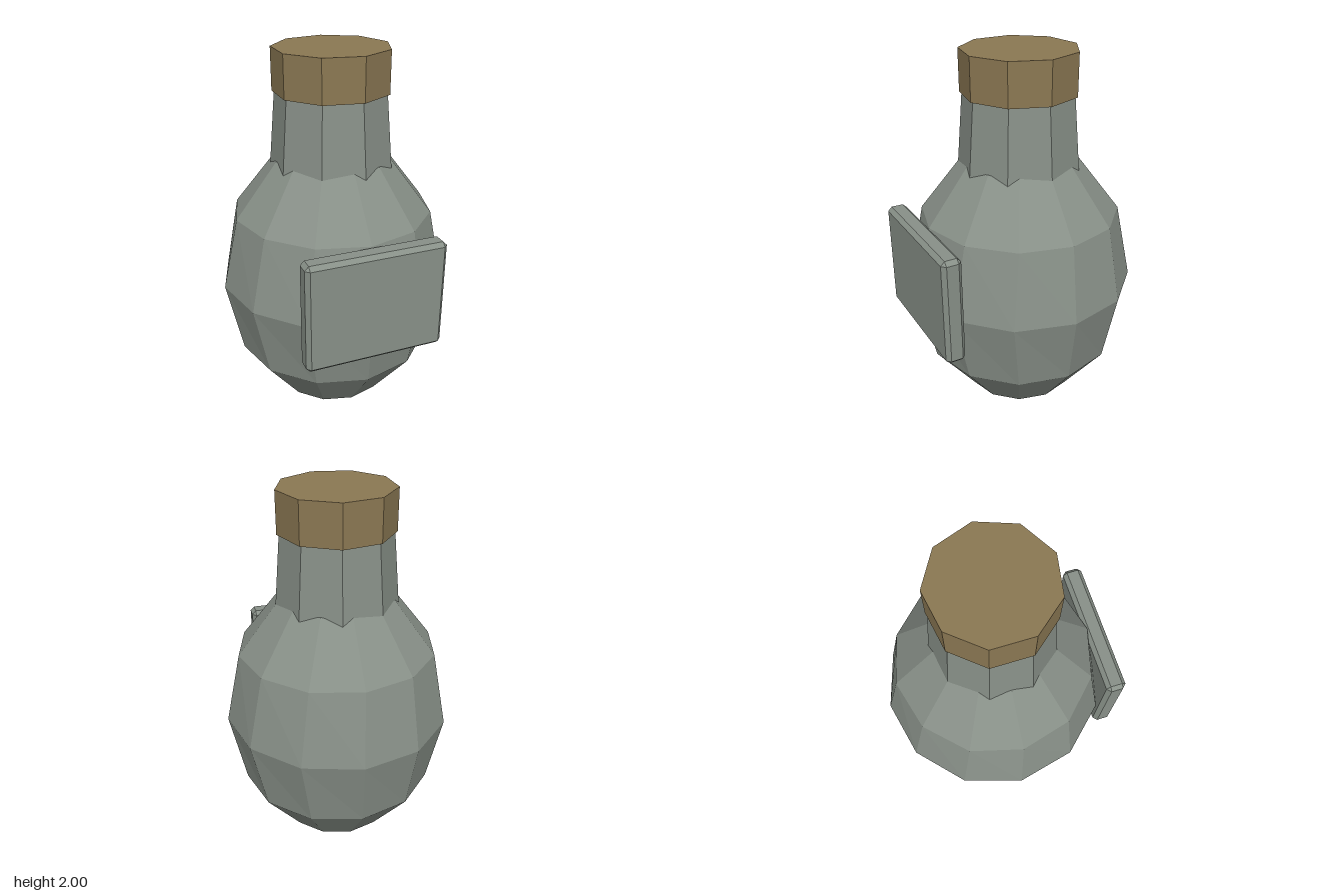
import * as THREE from 'three';
import { ConvexGeometry } from 'three/addons/geometries/ConvexGeometry.js';

const CENTER_Z = -0.005;

// Faceted look: every face gets its own normal
function faceted(geometry) {
  const flat = geometry.index ? geometry.toNonIndexed() : geometry;
  flat.computeVertexNormals();
  return flat;
}

// Box with every edge cut at 45 degrees
function chamferedBox(w, h, d, c) {
  const points = [];
  for (const sx of [-1, 1]) for (const sy of [-1, 1]) for (const sz of [-1, 1]) {
    for (let axis = 0; axis < 3; axis++) {
      const half = [w / 2, h / 2, d / 2].map((v, i) => (i === axis ? v : v - c));
      points.push(new THREE.Vector3(sx * half[0], sy * half[1], sz * half[2]));
    }
  }
  return new ConvexGeometry(points);
}

// Egg-shaped belly whose middle ring is turned slightly
function bellyGeometry() {
  const geometry = new THREE.SphereGeometry(1, 12, 6);
  const pos = geometry.attributes.position;
  const v = new THREE.Vector3();
  const up = new THREE.Vector3(0, 1, 0);
  for (let i = 0; i < pos.count; i++) {
    v.fromBufferAttribute(pos, i);
    if (Math.abs(v.y) < 0.01) v.applyAxisAngle(up, -0.036);
    pos.setXYZ(i, v.x * 0.6, v.y * 0.773, v.z * 0.6);
  }
  return faceted(geometry);
}

// Nine-sided round part with a corner pointing to +x
function nineSided(top, bottom, y0, y1) {
  const geometry = new THREE.CylinderGeometry(top, bottom, y1 - y0, 9, 1, false, Math.PI / 2);
  geometry.translate(0, (y0 + y1) / 2, 0);
  return faceted(geometry);
}

export function createModel() {
  const group = new THREE.Group();
  group.name = 'bottle';
  const glass = new THREE.MeshStandardMaterial({ color: 0x889088 });
  glass.name = 'grey green glass';
  const cork = new THREE.MeshStandardMaterial({ color: 0x8b7853 });
  cork.name = 'brown cork';

  const add = (name, geometry, material, x, y, z) => {
    const mesh = new THREE.Mesh(geometry, material);
    mesh.name = name;
    mesh.position.set(x, y, z);
    group.add(mesh);
  };

  add('belly', bellyGeometry(), glass, 0, 0.778, CENTER_Z);
  add('neck', nineSided(0.285, 0.32, 1.38, 1.79), glass, 0, 0, CENTER_Z);
  add('stopper', nineSided(0.297, 0.297, 1.785, 2), cork, 0, 0, CENTER_Z);
  add('label', chamferedBox(0.724, 0.576, 0.104, 0.021), glass, 0, 0.873, 0.553);
  return group;
}
